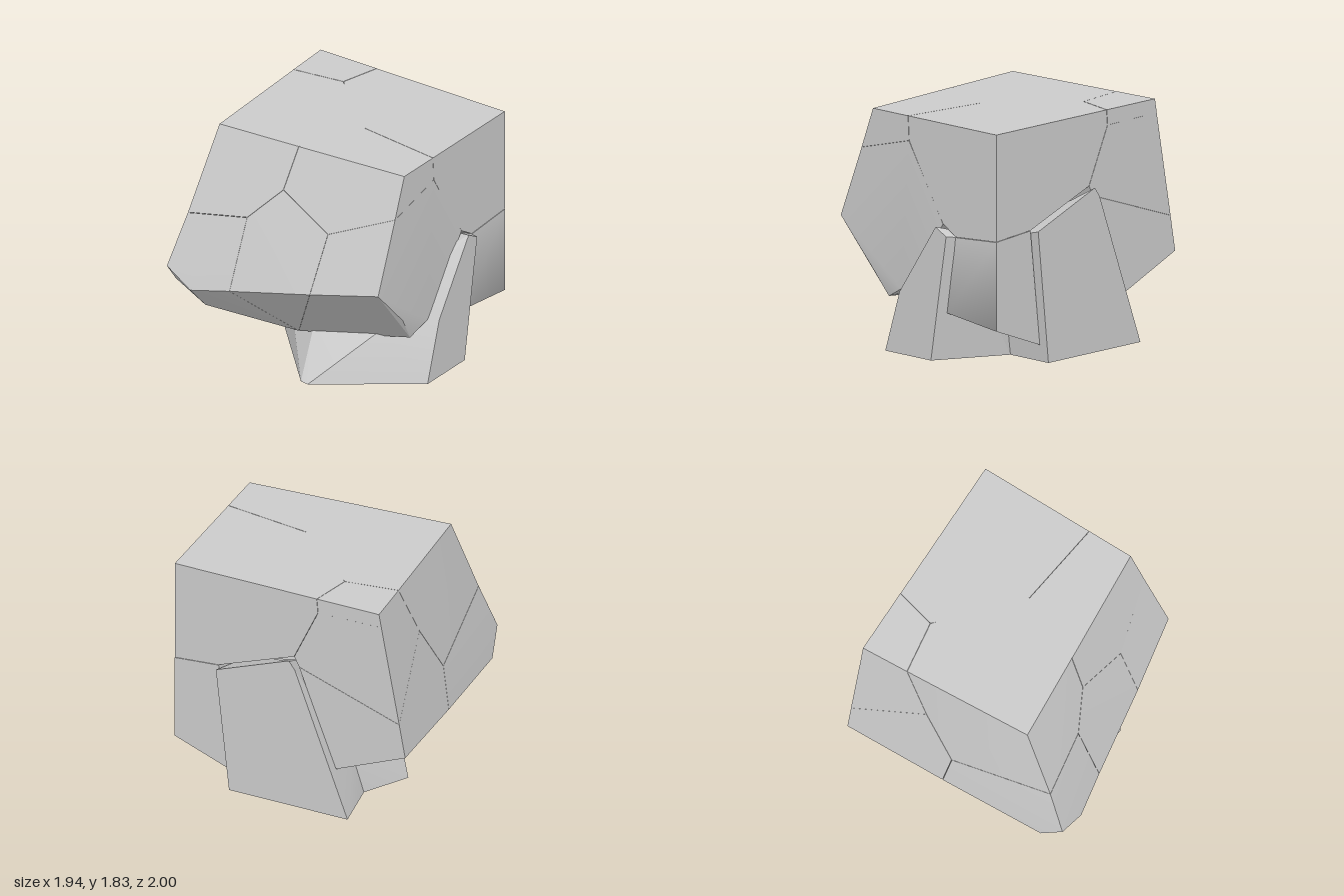
import * as THREE from 'three';
import { ConvexGeometry } from 'three/addons/geometries/ConvexGeometry.js';
import { toCreasedNormals } from 'three/addons/utils/BufferGeometryUtils.js';

const TOP = 1.83, RIGHT = 0.9, FRONT = 0.93;
const top = (x, z) => [x, TOP, z];
const front = (x, y) => [x, y, FRONT];
const side = (y, z) => [RIGHT, y, z];

// Corners shared by neighbouring fragments
const core = [0.1, 0.9, 0.1];
const keel = [-0.47, 0.26, 0];
const leftHigh = [-0.6, 1.5, -0.05], leftFront = [-0.65, 1.28, 0.4], leftRear = [-0.72, 1.24, -0.3];
const rimFront = [-0.83, 0.83, 0.36], rimRear = [-0.92, 0.69, -0.32];
const tipA = [-0.97, 0.62, -0.65], tipB = [-0.95, 0.75, -0.88], tipC = [-0.8, 0.43, -0.63], tipD = [-0.78, 0.56, -0.92];
const backLeft = [-0.79, 1.16, -0.8], backMid = [0.03, 0.93, -0.9], backRight = [0.3, 1.37, -0.83];
const backFoot = [0.07, 0.585, -0.965], underBack = [0.2, 0.42, -0.6], underRight = [0.62, 0.35, -0.42];
const topA = top(0.06, 0.24), topB = top(-0.02, 0.11), topC = top(0.16, 0.07), topD = top(0.58, -0.34);
const topE = top(0.52, -0.76), topLeft = top(-0.47, 0);

// Each fragment is a convex stone; crease is the angle below which edges shade softly
const fragments = {
  topCornerFragment: { points: [
    top(RIGHT, FRONT), top(-0.03, FRONT), topA, topC, topD, top(RIGHT, -0.26),
    front(-0.02, 1.64), front(0.27, 1.15), front(0.34, 1.05), front(0.47, 0.97), front(RIGHT, 1.0),
    side(1.03, 0.56), side(1.27, -0.07), side(1.71, -0.27), core] },
  topLeftFragment: { points: [
    top(-0.03, FRONT), topA, topB, topLeft, top(-0.4, FRONT), leftHigh, leftFront,
    front(-0.52, 1.51), front(-0.02, 1.64), core] },
  topBackFragment: { points: [
    topA, topB, topC, topD, topE, topLeft, top(-0.52, -0.7), leftHigh, leftRear, backLeft, backMid, backRight, core] },
  topRightBackFragment: { points: [
    topD, topE, top(RIGHT, -0.26), top(RIGHT, -0.78), side(1.71, -0.27), side(1.72, -0.8), [0.4, 1.2, -0.3]] },
  rightFragment: { points: [
    topD, topE, side(1.71, -0.27), side(1.72, -0.8), side(0.9, -0.95), side(1.19, -0.11), side(1.27, -0.07),
    backRight, core] },
  rightLowerFragment: { points: [
    side(0.9, -0.95), side(1.19, -0.11), side(0.37, -0.42), side(0.62, -1.0),
    backRight, backMid, backFoot, underBack, underRight, core] },
  backLowerFragment: { points: [
    backLeft, backMid, backFoot, tipD, tipB, tipC, underBack, keel, core] },
  leftBackFragment: { points: [leftRear, rimRear, tipA, tipB, tipC, backLeft, keel, core] },
  leftFragment: { points: [leftHigh, leftFront, leftRear, rimFront, rimRear, keel, core] },
  frontLeftFragment: { points: [
    front(-0.52, 1.51), front(-0.02, 1.64), front(0.27, 1.15), front(0.34, 1.05), front(-0.1, 0.48),
    front(-0.42, 0.61), front(-0.74, 0.95), leftFront, rimFront, [-0.27, 0.39, 0.89], [-0.12, 0.44, 0.88],
    keel, core] },
  frontCornerFragment: { crease: 1.25, points: [
    front(0.47, 0.97), front(0.38, 0.37), front(RIGHT, 0.31), front(RIGHT, 1.0),
    side(1.03, 0.56), side(0.13, 0.46), [0.59, 0.18, 0.44], [0.5, 0.95, 0.5]] },
  // Standing pieces that push out past the block
  base: { points: [
    [0.57, 0, 0.44], [0.56, 0, -0.49], [0.225, 0, -0.7], [-0.72, 0, 0.2], [-0.73, 0, 0.27], [-0.2, 0, 1], [0.28, 0, 1],
    [-0.05, 0.48, 1], [0.33, 1.04, 1], [0.44, 0.98, 1], [0.47, 0.97, 0.93],
    [-0.33, 0.4, 0.65], [-0.4, 0.35, 0.1], underBack, underRight, [0.5, 0.9, 0.5]] },
  sideFoot: { points: [
    [0.97, 0, 0.44], [0.97, 0, -0.55], [0.97, 1.2, -0.11], [0.97, 1.27, -0.06], [0.97, 1.03, 0.55],
    [0.57, 0, 0.44], [0.56, 0, -0.49], underRight, [0.5, 0.9, 0.5], [0.5, 1, 0]] },
};

// Shrinks a fragment slightly toward its middle, leaving hairline cracks
function buildFragment({ points, crease = 0.3 }, shrink) {
  const corners = points.map(p => new THREE.Vector3(...p));
  const middle = new THREE.Box3().setFromPoints(corners).getCenter(new THREE.Vector3());
  corners.forEach(c => c.sub(middle).multiplyScalar(shrink).add(middle));
  return toCreasedNormals(new ConvexGeometry(corners), crease);
}

export function createModel() {
  const model = new THREE.Group();
  model.name = 'brokenBlock';
  const stone = new THREE.MeshStandardMaterial({ color: 0xcccccc });
  for (const [name, fragment] of Object.entries(fragments)) {
    const standing = name === 'base' || name === 'sideFoot';
    const mesh = new THREE.Mesh(buildFragment(fragment, standing ? 1 : 0.996), stone);
    mesh.name = name;
    model.add(mesh);
  }
  return model;
}
